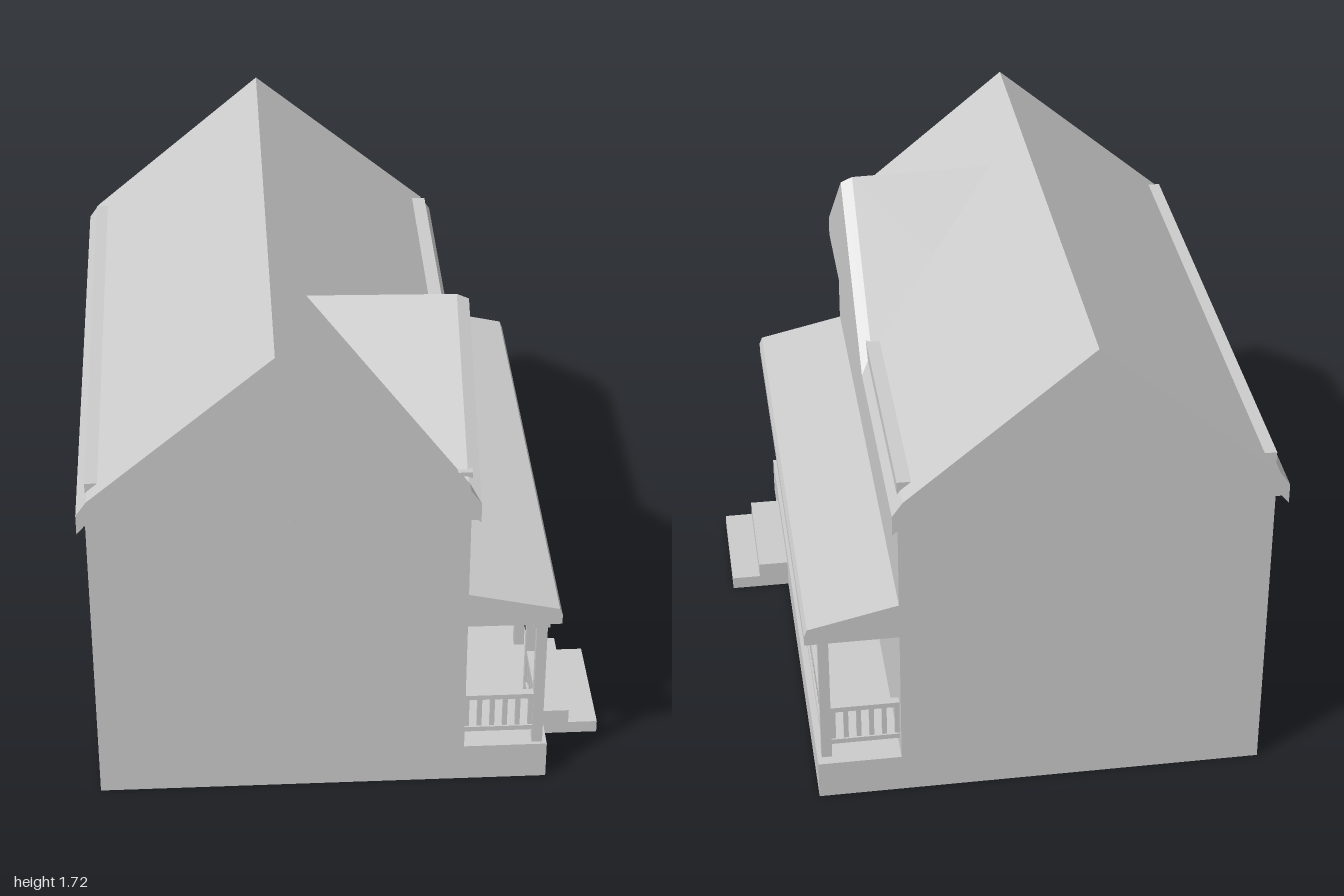
import * as THREE from 'three';

const grey = new THREE.MeshStandardMaterial({ color: 0xcccccc, flatShading: true });

export function createModel() {
  const house = new THREE.Group();
  house.name = 'house';

  const add = (name, geometry, parent = house) => {
    const mesh = new THREE.Mesh(geometry, grey);
    mesh.name = name;
    parent.add(mesh);
    return mesh;
  };
  // Box given by its extents on each axis
  const box = (name, [x0, x1], [y0, y1], [z0, z1], parent) => {
    const mesh = add(name, new THREE.BoxGeometry(x1 - x0, y1 - y0, z1 - z0), parent);
    mesh.position.set((x0 + x1) / 2, (y0 + y1) / 2, (z0 + z1) / 2);
    return mesh;
  };
  // Profile in the xy plane, extruded from z0 to z1
  const prism = (name, points, z0, z1) => {
    const shape = new THREE.Shape(points.map(([x, y]) => new THREE.Vector2(x, y)));
    const geometry = new THREE.ExtrudeGeometry(shape, { depth: z1 - z0, bevelEnabled: false });
    add(name, geometry.translate(0, 0, z0));
  };

  const back = -0.93, front = 0.94;

  // Main walls
  box('walls', [-0.845, 0.38], [0, 1.125], [back, front]);

  // Gable roof with kicked eaves
  prism('mainRoof', [
    [-0.845, 1.12], [0.37, 1.12], [0.405, 1.09], [0.405, 1.16], [0.37, 1.21],
    [-0.24, 1.715], [-0.835, 1.21], [-0.87, 1.16], [-0.87, 1.09],
  ], -1, 1);

  // Rails along both eaves
  box('leftEaveRail', [0.315, 0.38], [1.18, 1.24], [back, front]);
  box('rightEaveRail', [-0.84, -0.79], [1.18, 1.24], [back, front]);

  // Cross gable: triangular sections joined along x, dipping at the outer edge
  const sections = [[-0.2, 0.028], [0.365, 0.018], [0.405, 0]];
  const positions = [], index = [];
  for (const [x, lift] of sections) {
    positions.push(
      x, 1.1, 1, x, 1.16 + lift, 1, x, 1.59 + lift, 0.45,
      x, 1.155 + lift, -0.15, x, 1.1, -0.15,
    );
  }
  for (let s = 0; s < sections.length - 1; s++) {
    for (let i = 0; i < 5; i++) {
      const a = s * 5 + i, b = s * 5 + (i + 1) % 5;
      index.push(a, a + 5, b, b, a + 5, b + 5);
    }
  }
  const last = (sections.length - 1) * 5;
  for (let i = 1; i < 4; i++) {
    index.push(last, last + i + 1, last + i, 0, i, i + 1);
  }
  const gable = new THREE.BufferGeometry();
  gable.setAttribute('position', new THREE.Float32BufferAttribute(positions, 3));
  gable.setIndex(index);
  // Sort out facing: the triangle fan and the side strips share one winding
  gable.computeVertexNormals();
  add('crossGable', gable).material = new THREE.MeshStandardMaterial({
    color: 0xcccccc, flatShading: true, side: THREE.DoubleSide,
  });

  // Porch floor, roof and steps
  box('porchFloor', [0.38, 0.66], [0, 0.137], [back, front]);
  prism('porchRoof', [
    [0.38, 0.637], [0.69, 0.637], [0.69, 0.672], [0.68, 0.697], [0.38, 0.765],
  ], back, front);
  box('upperStep', [0.66, 0.765], [0, 0.097], [0.3, 0.715]);
  box('lowerStep', [0.765, 0.865], [0, 0.045], [0.3, 0.715]);
  box('door', [0.38, 0.386], [0.137, 0.575], [0.39, 0.625]);

  // Porch posts with small caps
  for (const z of [0.91, 0.672, 0.368, -0.877]) {
    const post = new THREE.Group();
    post.name = 'porchPost';
    house.add(post);
    box('shaft', [0.61, 0.645], [0.137, 0.637], [z - 0.017, z + 0.017], post);
    box('cap', [0.597, 0.652], [0.62, 0.637], [z - 0.025, z + 0.025], post);
  }

  // Balustrade of given length running along +x from its origin
  const balustrade = (length, gaps, x, z, turn) => {
    const group = new THREE.Group();
    group.name = 'balustrade';
    group.position.set(x, 0, z);
    group.rotation.y = turn;
    house.add(group);
    box('topRail', [0, length], [0.32, 0.338], [-0.014, 0.014], group);
    box('bottomRail', [0, length], [0.188, 0.206], [-0.014, 0.014], group);
    for (let i = 0; i <= gaps; i++) {
      const c = 0.008 + (length - 0.016) * i / gaps;
      box('baluster', [c - 0.008, c + 0.008], [0.2, 0.325], [-0.008, 0.008], group);
    }
  };
  balustrade(0.21, 5, 0.627, 0.897, Math.PI / 2);
  balustrade(1.21, 29, 0.627, 0.35, Math.PI / 2);
  balustrade(0.23, 5, 0.38, 0.91, 0);
  balustrade(0.23, 5, 0.38, -0.877, 0);

  return house;
}
